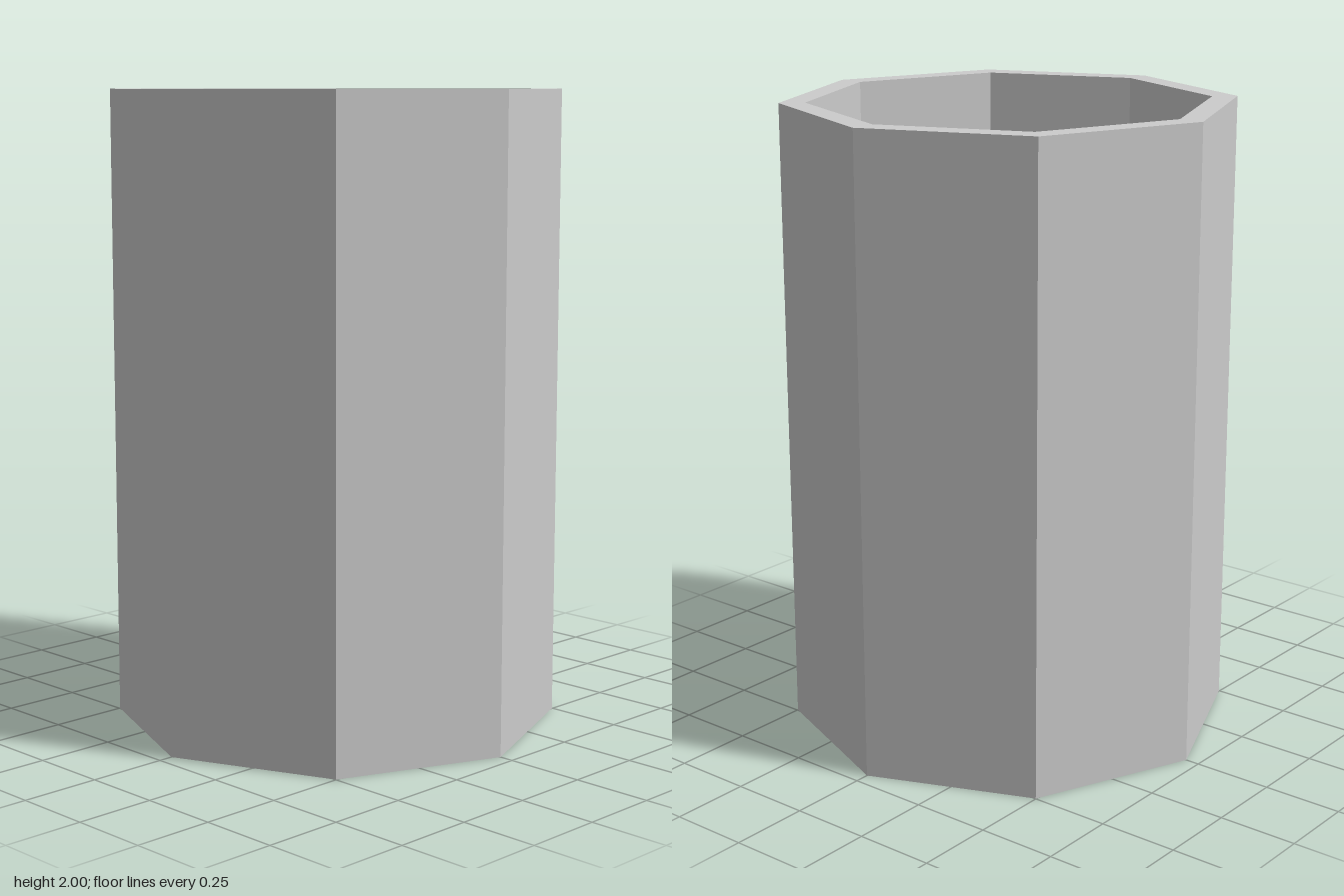
import * as THREE from 'three';

export function createModel() {
  const group = new THREE.Group();
  group.name = 'octagonalContainer';

  // Closed profile: base, outer wall, rim, inner wall, small ledge, floor
  const profile = [
    [0, 0], [0.705, 0], [0.705, 2], [0.625, 2],
    [0.625, 0.14], [0.598, 0.14], [0.598, 0.08], [0, 0.08],
  ].map(([r, y]) => new THREE.Vector2(r, y));

  // Eight flat sides with corners on the x and z axes
  const geometry = new THREE.LatheGeometry(profile, 8).toNonIndexed();
  geometry.computeVertexNormals();

  const material = new THREE.MeshStandardMaterial({ color: 0xcccccc, flatShading: true });
  const shell = new THREE.Mesh(geometry, material);
  shell.name = 'containerShell';
  group.add(shell);
  return group;
}
